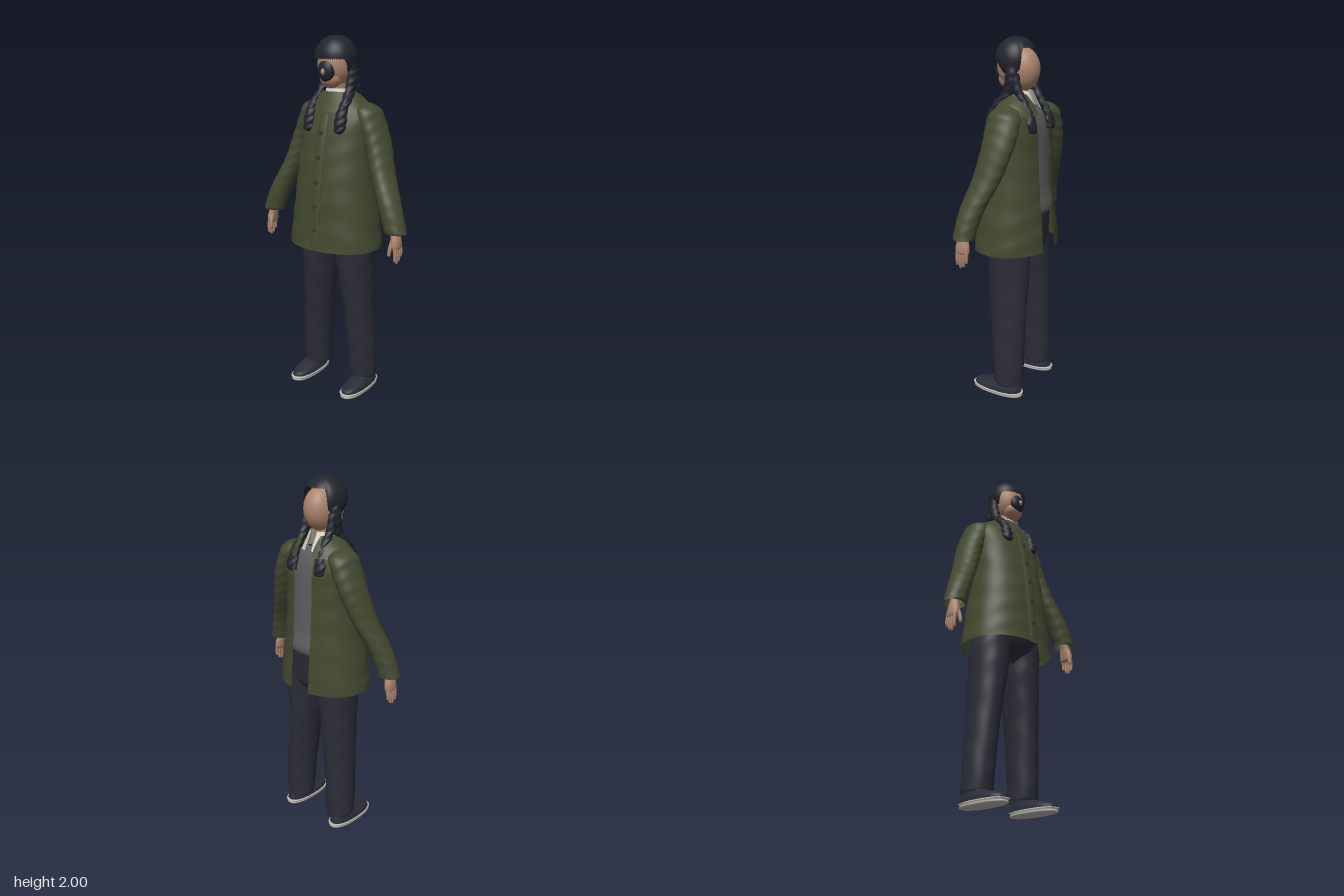
import * as THREE from 'three';

const mat = (name, color, side = THREE.FrontSide) => {
  const m = new THREE.MeshStandardMaterial({ color, side });
  m.name = name;
  return m;
};

// Smooth body through horizontal sections, listed bottom to top as [y, centreX, centreZ, radiusX, radiusZ].
// gap leaves an opening of that half width towards +x; round below 1 makes sections boxier.
function loft(rows, { n = 40, sub = 6, gap = 0, round = 1, wrinkle = 0, freq = 50 } = {}) {
  const centre = new THREE.CatmullRomCurve3(rows.map(r => new THREE.Vector3(r[1], r[0], r[2])), false, 'catmullrom', 0.5);
  const size = new THREE.CatmullRomCurve3(rows.map(r => new THREE.Vector3(r[3], r[4], 0)), false, 'catmullrom', 0.5);
  const steps = (rows.length - 1) * sub;
  const cols = gap ? n + 1 : n;
  const pos = [], idx = [];
  const pw = v => Math.sign(v) * Math.pow(Math.abs(v), round);
  for (let i = 0; i <= steps; i++) {
    const c = centre.getPoint(i / steps), s = size.getPoint(i / steps);
    const a0 = gap ? Math.asin(Math.min(0.9, Math.pow(gap / s.y, 1 / round))) : 0;
    for (let j = 0; j < cols; j++) {
      const a = a0 + (2 * Math.PI - 2 * a0) * j / n;
      const k = 1 + wrinkle * Math.sin(c.y * freq + 2 * Math.sin(a * 2 + c.y * 5));
      pos.push(c.x + Math.max(0, s.x) * k * pw(Math.cos(a)), c.y, c.z + Math.max(0, s.y) * k * pw(Math.sin(a)));
    }
  }
  for (let i = 0; i < steps; i++) {
    for (let j = 0; j < n; j++) {
      const a = i * cols + j, b = i * cols + (j + 1) % cols;
      idx.push(a, a + cols, b, b, a + cols, b + cols);
    }
  }
  const g = new THREE.BufferGeometry();
  g.setAttribute('position', new THREE.Float32BufferAttribute(pos, 3));
  g.setIndex(idx);
  g.computeVertexNormals();
  return g;
}

// Hair cap: a sphere whose lower edge rises over both faces
function hairCap() {
  const g = new THREE.SphereGeometry(1, 64, 28);
  const p = g.attributes.position, uv = g.attributes.uv;
  const mix = THREE.MathUtils.smoothstep;
  for (let i = 0; i < p.count; i++) {
    const phi = uv.getX(i) * Math.PI * 2;
    const front = Math.abs(Math.atan2(Math.sin(phi), Math.cos(phi)));
    const limit = 1.05 + 1.45 * mix(front, 0.7, 0.98) - 0.85 * mix(front, 1.65, 2.2);
    const t = (1 - uv.getY(i)) * limit;
    const part = 1 - 0.02 * Math.exp(-Math.pow(Math.sin(phi) * Math.sin(t) * 12, 2));
    p.setXYZ(i, -0.003 + 0.113 * Math.sin(t) * Math.cos(phi), 1.885 + 0.115 * Math.cos(t) * part, -0.115 * Math.sin(t) * Math.sin(phi));
  }
  // the azimuth runs opposite to the sphere's own, which keeps the winding outward
  g.computeVertexNormals();
  return g;
}

export function createModel() {
  const root = new THREE.Group();
  root.name = 'person';
  const D = THREE.DoubleSide;
  const olive = mat('olive jacket', 0x444930, D);
  const darkOlive = mat('dark olive trim', 0x363b27, D);
  const navy = mat('navy trousers', 0x2b2c37, D);
  const grey = mat('grey sweater', 0x5e5e60);
  const skin = mat('skin', 0xab836c);
  const hair = mat('black hair', 0x22242d, D);
  const white = mat('white shirt', 0xd0ccc4, D);
  const shoe = mat('shoe', 0x2a2d38);
  const sole = mat('shoe sole', 0xbab6ae);

  const add = (name, geo, m, parent = root) => {
    const o = new THREE.Mesh(geo, m);
    o.name = name;
    parent.add(o);
    return o;
  };
  const ball = (name, m, [x, y, z], [rx, ry, rz], parent = root) => {
    const o = add(name, new THREE.SphereGeometry(1, 32, 20), m, parent);
    o.position.set(x, y, z);
    o.scale.set(rx, ry, rz);
    return o;
  };

  // Torso layers
  add('jacket', loft([
    [0.865, -0.002, 0, 0.211, 0.27], [1.0, 0, 0, 0.2, 0.255], [1.2, 0, 0, 0.185, 0.228],
    [1.4, 0.01, 0, 0.165, 0.215], [1.52, 0.02, 0, 0.15, 0.22], [1.6, 0.025, 0, 0.13, 0.21],
    [1.65, 0.028, 0, 0.105, 0.17], [1.7, 0.03, 0, 0.08, 0.1],
  ], { n: 64, sub: 8, gap: 0.063, round: 0.9, wrinkle: 0.008, freq: 42 }), olive);
  add('jacketCollar', loft([
    [1.61, 0.03, 0, 0.14, 0.195], [1.66, 0.03, 0, 0.114, 0.16], [1.71, 0.025, 0, 0.08, 0.095],
  ], { gap: 0.055 }), olive);
  add('placket', loft([
    [0.87, -0.208, 0, 0.009, 0.03], [1.0, -0.198, 0, 0.009, 0.03], [1.2, -0.183, 0, 0.009, 0.03],
    [1.4, -0.153, 0, 0.009, 0.03], [1.52, -0.128, 0, 0.009, 0.03], [1.6, -0.104, 0, 0.008, 0.028],
  ], { n: 12 }), olive);
  for (const [y, x] of [[0.98, -0.209], [1.11, -0.2], [1.24, -0.187], [1.37, -0.168], [1.5, -0.143]]) {
    const b = add('button', new THREE.CylinderGeometry(0.012, 0.012, 0.008, 16), darkOlive);
    b.rotation.z = Math.PI / 2;
    b.position.set(x, y, 0);
  }
  add('sweater', loft([
    [1.06, 0, 0, 0, 0], [1.065, 0, 0, 0.17, 0.21], [1.2, 0, 0, 0.166, 0.2], [1.4, 0.01, 0, 0.148, 0.19],
    [1.52, 0.02, 0, 0.132, 0.18], [1.6, 0.025, 0, 0.11, 0.14], [1.65, 0.025, 0, 0.075, 0.08],
  ], { round: 0.9 }), grey);
  add('shirtCollar', loft([
    [1.63, 0.028, 0, 0.105, 0.1], [1.68, 0.024, 0, 0.084, 0.08], [1.725, 0.02, 0, 0.066, 0.066],
  ], { gap: 0.022 }), white);
  add('trouserTop', loft([
    [0.8, 0.015, 0, 0.05, 0.1], [0.86, 0.015, 0, 0.122, 0.2], [0.95, 0.01, 0, 0.148, 0.205], [1.09, 0.005, 0, 0.16, 0.205],
  ], { round: 0.9 }), navy);

  // Limbs, mirrored
  for (const [s, side] of [[1, 'left'], [-1, 'right']]) {
    const dx = s > 0 ? -0.012 : 0.012;
    add(side + 'Sleeve', loft([
      [1.005, -0.05 + dx, s * 0.424, 0.055, 0.061], [1.03, -0.05 + dx, s * 0.416, 0.058, 0.062],
      [1.15, -0.032 + dx, s * 0.372, 0.067, 0.062], [1.3, 0.012 + dx, s * 0.302, 0.08, 0.061],
      [1.45, 0.042 + dx, s * 0.248, 0.09, 0.066], [1.57, 0.048 + dx, s * 0.2, 0.094, 0.068],
      [1.63, 0.045 + dx, s * 0.175, 0.075, 0.062], [1.665, 0.04, s * 0.15, 0, 0],
    ], { sub: 10, wrinkle: 0.016, freq: 95 }), olive);

    const hand = new THREE.Group();
    hand.name = side + 'Hand';
    root.add(hand);
    const hx = -0.055 + dx;
    add('palm', loft([
      [0.915, hx, s * 0.436, 0, 0], [0.925, hx, s * 0.436, 0.038, 0.018], [0.96, hx, s * 0.433, 0.041, 0.023],
      [1.0, hx, s * 0.425, 0.03, 0.024], [1.05, hx + 0.005, s * 0.41, 0.028, 0.025],
    ], { n: 20 }), skin, hand);
    for (let f = 0; f < 4; f++) {
      const x = hx - 0.028 + f * 0.019, len = [0.075, 0.088, 0.08, 0.06][f];
      add('finger', loft([
        [0.93 - len, x, s * 0.442, 0, 0], [0.937 - len, x, s * 0.442, 0.007, 0.008],
        [0.9, x, s * 0.444, 0.009, 0.011], [0.94, x, s * 0.436, 0.01, 0.014],
      ], { n: 10, sub: 3 }), skin, hand);
    }
    add('thumb', loft([
      [0.885, hx - 0.043, s * 0.415, 0, 0], [0.892, hx - 0.043, s * 0.415, 0.009, 0.009],
      [0.93, hx - 0.038, s * 0.418, 0.011, 0.011], [0.975, hx - 0.02, s * 0.425, 0.014, 0.014],
    ], { n: 10, sub: 3 }), skin, hand);

    add(side + 'TrouserLeg', loft([
      [0.07, 0.045, s * 0.162, 0.082, 0.074], [0.1, 0.042, s * 0.162, 0.087, 0.078], [0.25, 0.037, s * 0.157, 0.094, 0.079],
      [0.5, 0.028, s * 0.14, 0.107, 0.082], [0.7, 0.02, s * 0.122, 0.118, 0.096], [0.85, 0.015, s * 0.111, 0.124, 0.108],
      [0.95, 0.01, s * 0.105, 0.12, 0.1],
    ], { sub: 8, wrinkle: 0.014, freq: 38 }), navy);

    // Shoe: toes point towards -x
    const shoeGroup = new THREE.Group();
    shoeGroup.name = side + 'Shoe';
    root.add(shoeGroup);
    const z = s * 0.178;
    add('sole', loft([
      [0, -0.022, z, 0, 0], [0.001, -0.022, z, 0.146, 0.056], [0.015, -0.022, z, 0.152, 0.062],
      [0.027, -0.022, z, 0.151, 0.061], [0.028, -0.022, z, 0, 0],
    ], { round: 0.85, sub: 3 }), sole, shoeGroup);
    add('upper', loft([
      [0.022, -0.022, z, 0.15, 0.061], [0.045, -0.018, z, 0.143, 0.058], [0.065, 0.01, z, 0.11, 0.05],
      [0.085, 0.04, z, 0.07, 0.045], [0.12, 0.045, z, 0.06, 0.045],
    ], { round: 0.85 }), shoe, shoeGroup);
  }

  // Head
  const head = new THREE.Group();
  head.name = 'head';
  root.add(head);
  add('neck', loft([[1.6, 0.025, 0, 0.06, 0.06], [1.7, 0.01, 0, 0.052, 0.055], [1.8, 0, 0, 0.055, 0.06]]), skin, head);
  ball('skull', skin, [-0.005, 1.85, 0], [0.104, 0.12, 0.094], head);
  ball('jaw', skin, [-0.045, 1.782, 0], [0.06, 0.055, 0.062], head);
  ball('nose', skin, [-0.112, 1.815, 0], [0.021, 0.02, 0.014], head);
  ball('plainFace', skin, [0.03, 1.835, 0], [0.1, 0.115, 0.084], head);
  ball('faceFringe', hair, [-0.088, 1.82, 0], [0.035, 0.06, 0.05], head);
  add('hairCap', hairCap(), hair, head);

  // Braids: one pair over the buttoned side, one over the open side
  for (const s of [1, -1]) {
    add('frontBraid', loft([
      [1.495, -0.105, s * 0.1, 0, 0], [1.51, -0.11, s * 0.1, 0.028, 0.026], [1.56, -0.1, s * 0.1, 0.036, 0.034],
      [1.62, -0.085, s * 0.1, 0.03, 0.026], [1.67, -0.045, s * 0.1, 0.034, 0.026], [1.72, 0.0, s * 0.09, 0.034, 0.024],
      [1.79, 0.02, s * 0.09, 0.036, 0.028], [1.86, 0.015, s * 0.09, 0.03, 0.022],
    ], { n: 16, wrinkle: 0.1, freq: 150 }), hair);
    add('backBraid', loft([
      [1.515, 0.148, s * 0.097, 0, 0], [1.525, 0.15, s * 0.097, 0.022, 0.026], [1.565, 0.142, s * 0.1, 0.026, 0.034],
      [1.62, 0.125, s * 0.092, 0.024, 0.022], [1.68, 0.09, s * 0.088, 0.025, 0.022], [1.74, 0.055, s * 0.092, 0.026, 0.022],
      [1.82, 0.035, s * 0.094, 0.03, 0.02],
    ], { n: 16, wrinkle: 0.1, freq: 150 }), hair);
  }
  return root;
}
